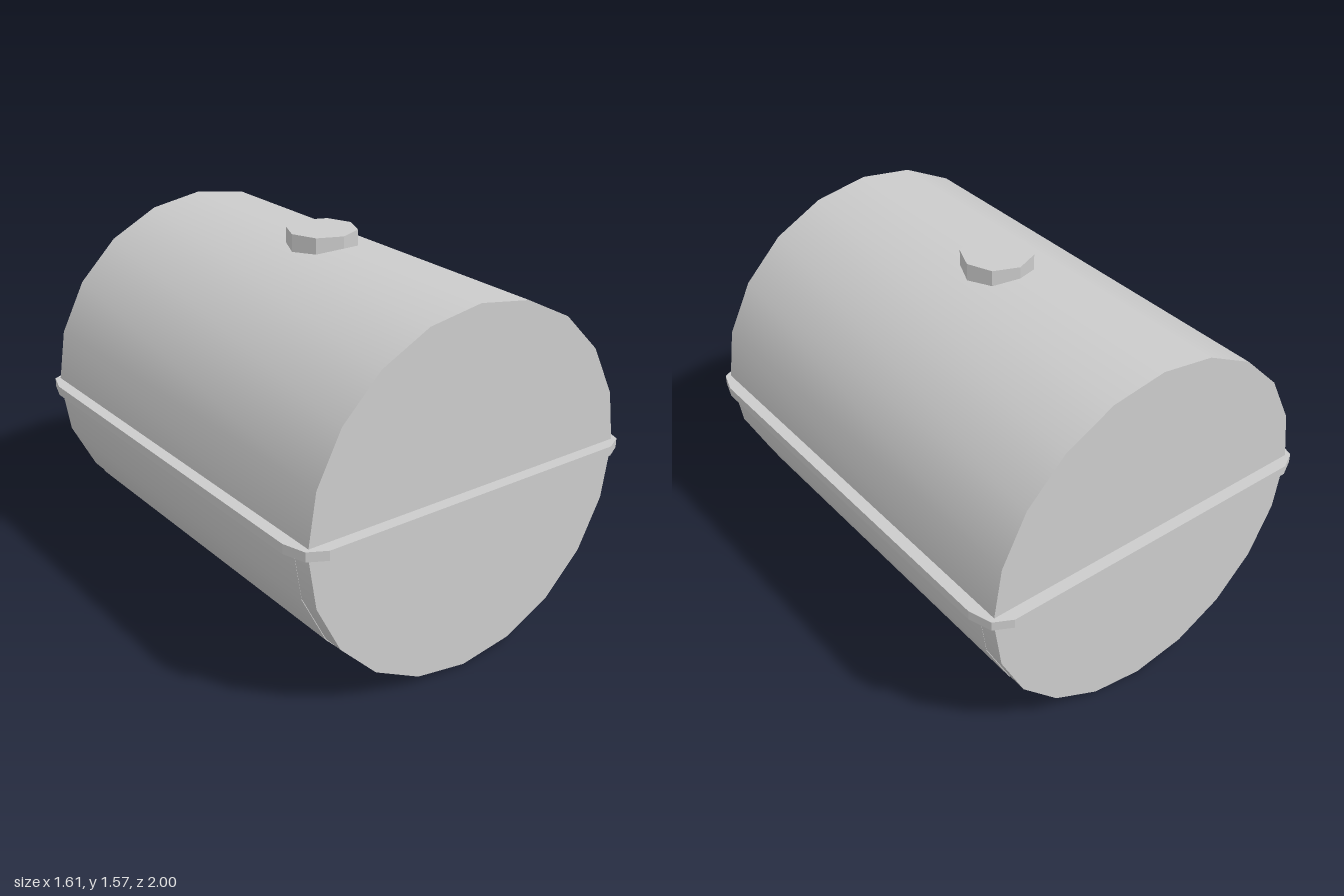
import * as THREE from 'three';

export function createModel() {
  const tank = new THREE.Group();
  tank.name = 'tank';
  const smooth = new THREE.MeshStandardMaterial({ color: 0xcccccc });
  const flat = new THREE.MeshStandardMaterial({ color: 0xcccccc, flatShading: true });

  const add = (name, geometry, material, y) => {
    const mesh = new THREE.Mesh(geometry, material);
    mesh.name = name;
    mesh.position.y = y;
    tank.add(mesh);
  };

  // Horizontal drum with flat ends
  const drum = (radius, length) =>
    new THREE.CylinderGeometry(radius, radius, length, 20).rotateX(Math.PI / 2);
  add('drum', drum(0.758, 1.9), smooth, 0.764);

  // Shorter liner that barely shows along the underside
  add('lowerShell', drum(0.758, 1.72), smooth, 0.758);

  // Seam flange: a thin plate with two-step chamfered corners
  const corner = [[0.805, 0.865], [0.775, 0.96], [0.7, 1]];
  const mirrored = (sx, sz) => corner.map(([x, z]) => new THREE.Vector2(x * sx, z * sz));
  const outline = new THREE.Shape([
    ...mirrored(1, 1), ...mirrored(-1, 1).reverse(),
    ...mirrored(-1, -1), ...mirrored(1, -1).reverse(),
  ]);
  const plate = new THREE.ExtrudeGeometry(outline, { depth: 0.04, bevelEnabled: false });
  add('seamFlange', plate.rotateX(-Math.PI / 2), flat, 0.745);

  // Octagonal filler cap, sunk into the top of the drum
  add('fillerCap', new THREE.CylinderGeometry(0.147, 0.147, 0.08, 8), flat, 1.532);

  return tank;
}
